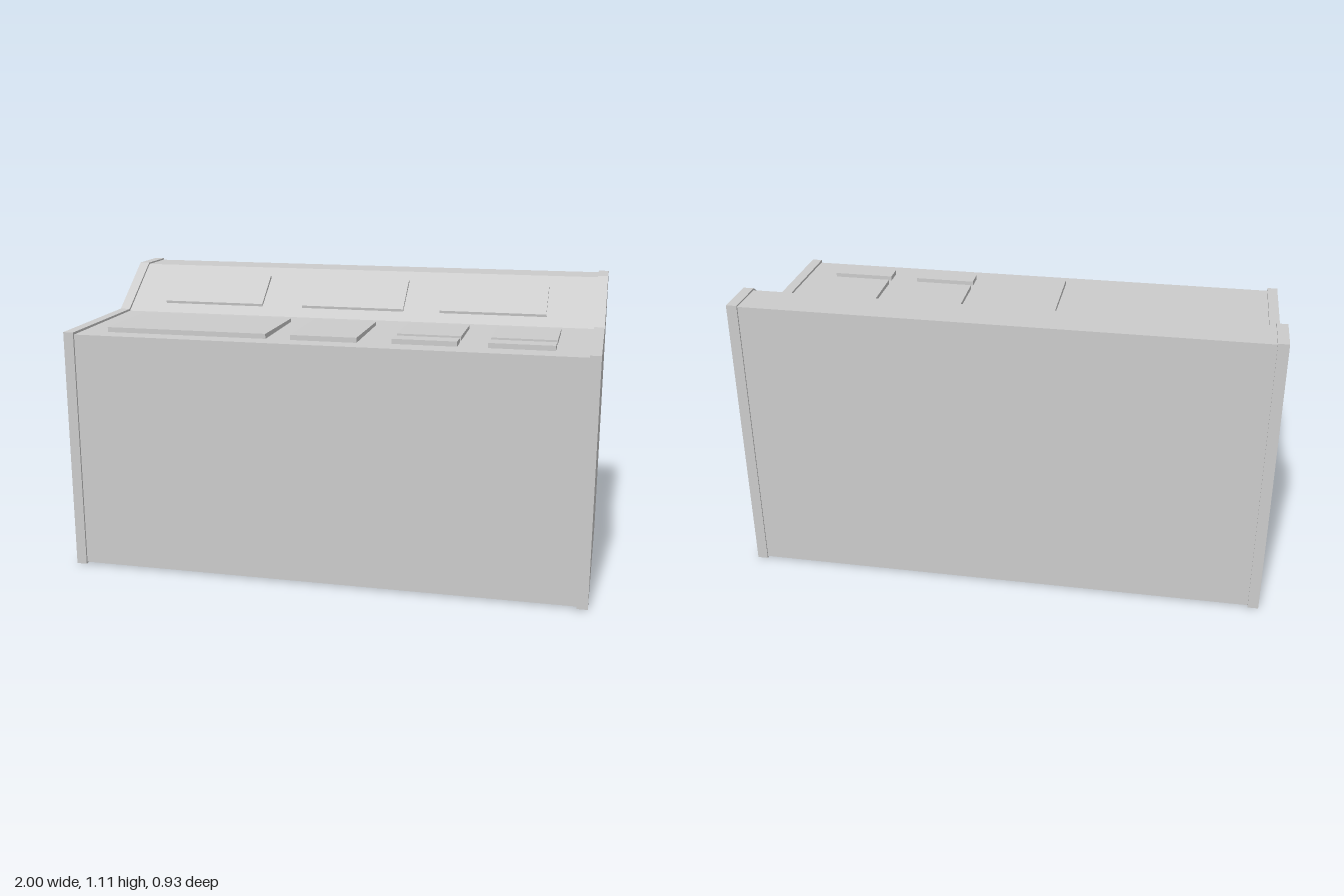
import * as THREE from 'three';

export function createModel() {
  const model = new THREE.Group();
  const material = new THREE.MeshStandardMaterial({ color: 0xcccccc, flatShading: true });

  const add = (name, geometry) => {
    const mesh = new THREE.Mesh(geometry, material);
    mesh.name = name;
    model.add(mesh);
    return mesh;
  };

  // Extrudes a side outline of [z, y] points from x0 to x1
  const slab = (name, outline, x0, x1) => {
    const shape = new THREE.Shape(outline.map(([z, y]) => new THREE.Vector2(-z, y)));
    const geometry = new THREE.ExtrudeGeometry(shape, { depth: x1 - x0, bevelEnabled: false });
    geometry.rotateY(Math.PI / 2).translate(x0, 0, 0);
    return add(name, geometry);
  };

  // Console body, set in slightly from the end panels
  slab('consoleBody', [
    [0.457, 0.006], [0.457, 0.926], [-0.069, 0.934],
    [-0.299, 1.104], [-0.459, 1.104], [-0.459, 0.006],
  ], -0.96, 0.96);

  // End panels
  const endOutline = [
    [0.465, 0], [0.465, 0.935], [-0.065, 0.942],
    [-0.295, 1.11], [-0.465, 1.11], [-0.465, 0],
  ];
  slab('rightEndPanel', endOutline, -1, -0.96);
  slab('leftEndPanel', endOutline, 0.96, 1);

  // Raised control pads on the desk: name, x0, x1, z0, z1
  const pads = [
    ['largePad', -0.855, -0.225, 0.033, 0.382],
    ['mediumPad', -0.13, 0.122, 0.033, 0.382],
  ];
  for (const x of [0.25, 0.6]) {
    pads.push(['squarePad', x, x + 0.24, 0.033, 0.264]);
    pads.push(['stripPad', x, x + 0.24, 0.302, 0.372]);
  }
  for (const [name, x0, x1, z0, z1] of pads) {
    const pad = add(name, new THREE.BoxGeometry(x1 - x0, 0.025, z1 - z0));
    pad.position.set((x0 + x1) / 2, 0.9335, (z0 + z1) / 2);
  }

  // Screens on the sloping back board
  for (const x of [-0.6, -0.008, 0.562]) {
    slab('screen', [
      [-0.113, 0.962], [-0.111, 0.976], [-0.242, 1.078], [-0.25, 1.063],
    ], x - 0.211, x + 0.211);
  }

  return model;
}
